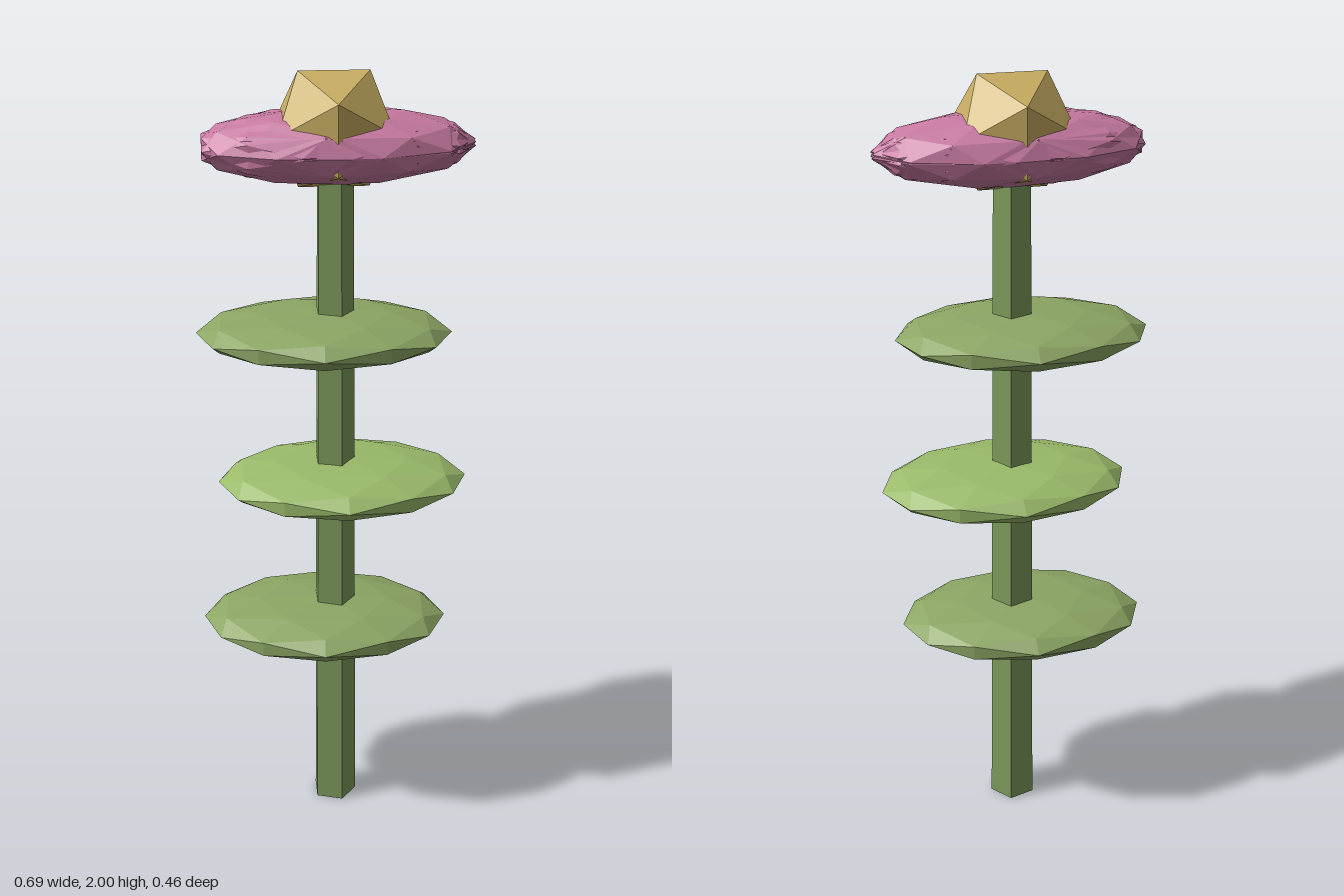
import * as THREE from 'three';

const mat = (color) => new THREE.MeshStandardMaterial({ color, flatShading: true });

function add(parent, name, geometry, material, x, y, z) {
  const mesh = new THREE.Mesh(geometry, material);
  mesh.name = name;
  mesh.position.set(x, y, z);
  parent.add(mesh);
  return mesh;
}

export function createModel() {
  const plant = new THREE.Group();
  plant.name = 'flower';

  // Five-sided tapered stem with one corner toward +x
  const stemGeo = new THREE.CylinderGeometry(0.048, 0.06, 1.8, 5);
  stemGeo.rotateY(Math.PI / 2);
  add(plant, 'stem', stemGeo, mat(0x7f9c5c), 0, 0.9, 0);

  // Three flat faceted leaves, shifted to alternate sides
  const leafGeo = new THREE.IcosahedronGeometry(1, 1);
  const leafMat = mat(0x8ca664);
  const lightLeafMat = mat(0x9aba6a);
  for (let i = 0; i < 3; i++) {
    const middle = i === 1;
    const leaf = add(plant, 'leaf' + (i + 1), leafGeo, middle ? lightLeafMat : leafMat,
      middle ? 0.022 : -0.025, 0.55 + i * 0.4, 0);
    leaf.scale.set(0.32, 0.06, 0.23);
    leaf.rotation.y = middle ? 0 : -0.06;
  }

  // Spiky blossom: faceted balls spun about x, then stretched along it
  const petals = new THREE.Group();
  petals.name = 'petals';
  plant.add(petals);
  const petalMat = mat(0xc87aa2);
  const count = 12;
  for (let i = 0; i < count; i++) {
    const left = i % 2 === 1;
    const spin = (i / count) * Math.PI * 2;
    const geo = new THREE.IcosahedronGeometry(1, 1);
    geo.rotateZ(left ? 0.42 : 0.06); // tilted balls make the left end blunt
    geo.rotateX(spin);
    geo.scale(0.322, 0.087, 0.15);
    add(petals, 'petal' + (i + 1), geo, petalMat, left ? -0.014 : 0.02,
      1.822 + Math.cos(spin) * 0.004, Math.sin(spin) * 0.006);
  }

  // Faceted flower centre
  add(plant, 'flowerCentre', new THREE.IcosahedronGeometry(0.164, 0), mat(0xc8ad62), 0, 1.86, 0);

  return plant;
}
